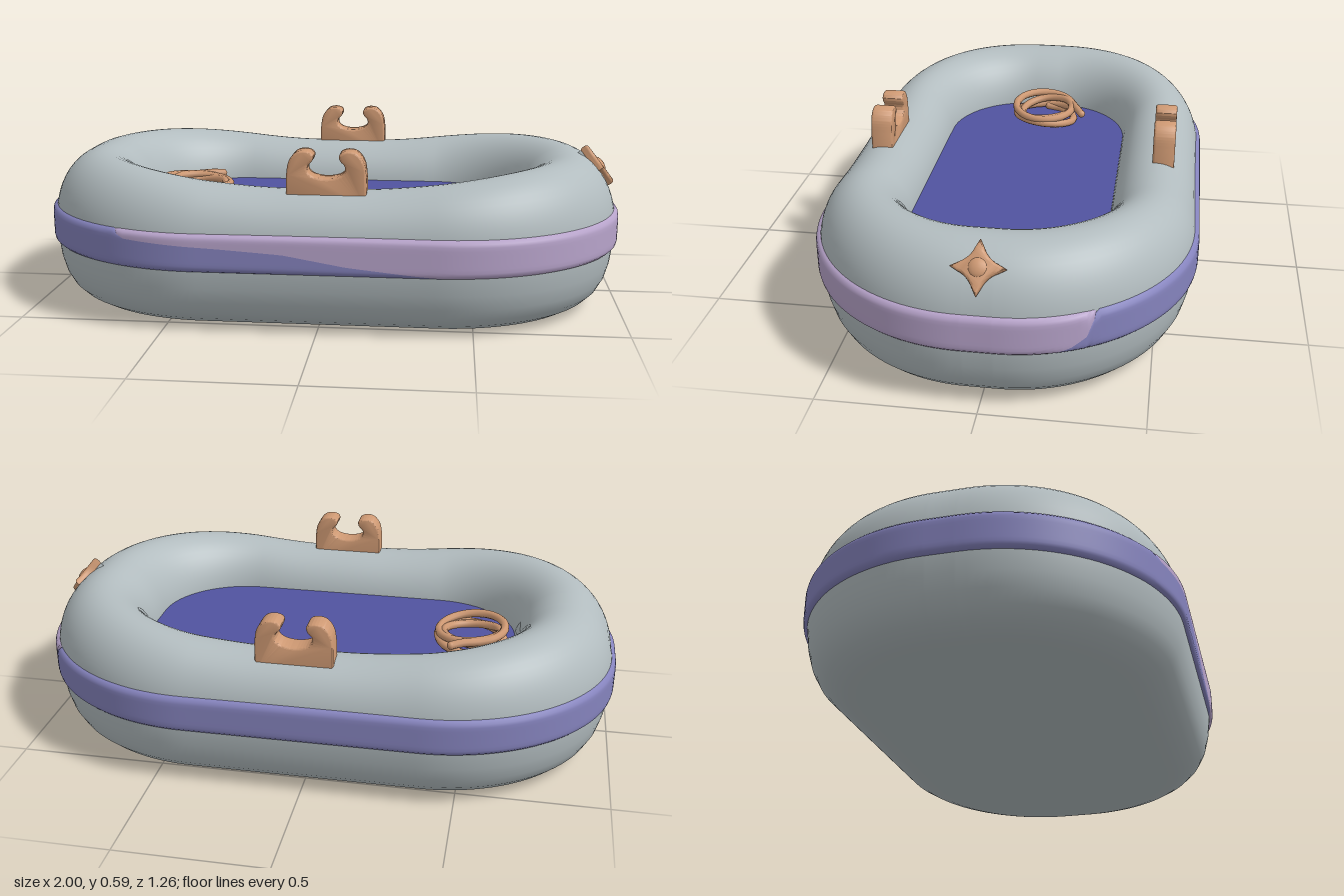
import * as THREE from 'three';
import { toCreasedNormals } from 'three/addons/utils/BufferGeometryUtils.js';

const mat = (name, color) => {
  const m = new THREE.MeshStandardMaterial({ color });
  m.name = name;
  return m;
};

// Rounded rectangle with elliptical corners: half sizes a, b; straight halves sx, sz
function outline(t, a, b, sx, sz) {
  const c = Math.cos(t), s = Math.sin(t);
  const u = Math.atan2(Math.abs(s), Math.abs(c)) / (Math.PI / 2);
  const phi = THREE.MathUtils.clamp((u - 0.125) / 0.625, 0, 1) * (Math.PI / 2);
  const x = sx * Math.min(1, (1 - u) / 0.25) + (a - sx) * Math.cos(phi);
  const z = sz * Math.min(1, u / 0.125) + (b - sz) * Math.sin(phi);
  return [Math.sign(c) * x, Math.sign(s) * z];
}
const outer = (t, e = 0) => outline(t, 0.988 + e, 0.618 + e, 0.38, 0.05);
const inner = (t) => outline(t, 0.648, 0.329, 0.35, 0.05);

// Closed ring surface from rows of points; point(row, angle) gives [x, y, z]
function loft(rows, point, segs = 192) {
  const pos = [], idx = [];
  for (let j = 0; j < rows; j++) {
    for (let i = 0; i < segs; i++) pos.push(...point(j, (i / segs) * Math.PI * 2));
  }
  for (let j = 0; j < rows - 1; j++) {
    for (let i = 0; i < segs; i++) {
      const k = (i + 1) % segs, a = j * segs + i, b = j * segs + k;
      idx.push(a, a + segs, b, b, a + segs, b + segs);
    }
  }
  const g = new THREE.BufferGeometry();
  g.setAttribute('position', new THREE.Float32BufferAttribute(pos, 3));
  g.setIndex(idx);
  g.computeVertexNormals();
  return g;
}

// Piecewise linear lookup
function lookup(v, pts) {
  if (v <= pts[0][0]) return pts[0][1];
  for (let i = 1; i < pts.length; i++) {
    const [x0, y0] = pts[i - 1], [x1, y1] = pts[i];
    if (v <= x1) return y0 + ((y1 - y0) * (v - x0)) / (x1 - x0);
  }
  return pts[pts.length - 1][1];
}

export function createModel() {
  const model = new THREE.Group();
  const grey = mat('tube grey', 0xb2bcbf);
  const blue = mat('floor blue', 0x5153a0);
  const violet = mat('band violet', 0x8583bd);
  const lilac = mat('band lilac', 0xb7a3ca);
  const tan = mat('fitting tan', 0xcd9872);
  const add = (name, geo, m, parent = model) => {
    const mesh = new THREE.Mesh(geo, m);
    mesh.name = name;
    parent.add(mesh);
    return mesh;
  };

  // Inflated hull: flat bottom, rounded side, elliptical top that rises at both ends
  const base = [[0.18, 0], [0.145, 0.001], [0.11, 0.012], [0.075, 0.032], [0.046, 0.06],
    [0.024, 0.1], [0.01, 0.15], [0.002, 0.21]];
  const arc = 24;
  add('inflatedHull', loft(1 + base.length + arc + 2, (j, t) => {
    if (j === 0) return [0, 0, 0];
    if (j <= base.length) {
      const [d, y] = base[j - 1], [x, z] = outer(t, -d);
      return [x, y, z];
    }
    const k = j - 1 - base.length;
    const phi = (Math.min(k, arc) / arc) * Math.PI;
    const o = outer(t), n = inner(t), f = 0.5 - 0.5 * Math.cos(phi);
    const x = o[0] + (n[0] - o[0]) * f, z = o[1] + (n[1] - o[1]) * f;
    const crest = 0.455 + 0.056 * THREE.MathUtils.smoothstep(Math.abs(o[0] + n[0]) / 2, 0.1, 0.8);
    const y = k > arc ? 0.22 : 0.285 + (crest - 0.285) * Math.sin(phi);
    return [x, y, z];
  }), grey);

  // Floor inside the tube
  add('floor', loft(2, (j, t) => {
    const [x, z] = inner(t);
    return j === 0 ? [x * 1.02, 0.32, z * 1.02] : [0, 0.32, 0];
  }), blue);

  // Rub band in two colours, divided at a height that changes around the hull
  const split = (t) => {
    const [x, z] = outer(t);
    if (z >= 0) {
      return lookup(x, [[-0.66, 1], [-0.62, 0.76], [-0.3, 0.64], [-0.1, 0.54], [0.1, 0.28], [0.45, 0]]);
    }
    return x < 0 ? 1 : lookup(-z, [[0.17, 0], [0.26, 0.15], [0.31, 0.4], [0.335, 1]]);
  };
  const bandPoint = (s, t) => {
    const [x, z] = outer(t, 0.012 - 0.03 * Math.pow(Math.abs(2 * s - 1), 10));
    return [x, 0.205 + 0.132 * s, z];
  };
  const rows = 15;
  const ease = (u) => 0.5 - 0.5 * Math.cos(u * Math.PI);
  add('lowerBand', loft(rows, (j, t) => bandPoint(ease(j / (rows - 1)) * split(t), t), 256), violet);
  add('upperBand', loft(rows, (j, t) => {
    const s = split(t);
    return bandPoint(s + (1 - s) * ease(j / (rows - 1)), t);
  }, 256), lilac);

  // Open oar holders with rounded horns on both long sides
  const half = [[0.121, 0.5], [0.114, 0.545], [0.094, 0.573], [0.068, 0.579], [0.049, 0.572],
    [0.05, 0.558], [0.065, 0.54], [0.064, 0.516], [0.042, 0.498], [0, 0.491]];
  const rim = [...half, ...half.slice(0, -1).reverse().map(([x, y]) => [-x, y])];
  const lockShape = new THREE.Shape();
  lockShape.moveTo(0.121, 0.41);
  lockShape.lineTo(0.121, 0.5);
  lockShape.splineThru(rim.slice(1).map(([x, y]) => new THREE.Vector2(x, y)));
  lockShape.lineTo(-0.121, 0.41);
  const lockGeo = toCreasedNormals(new THREE.ExtrudeGeometry(lockShape, {
    depth: 0.056, bevelThickness: 0.009, bevelSize: 0.007, bevelSegments: 3, curveSegments: 48,
  }), 0.8);
  lockGeo.translate(0.027, 0, -0.028);
  add('frontOarHolder', lockGeo, tan).position.z = 0.483;
  add('backOarHolder', lockGeo, tan).position.z = -0.497;

  // Four-pointed star fitting with a grey backing, tilted onto the end of the tube
  const starGeo = (r, depth, bevel) => {
    const s = new THREE.Shape();
    s.moveTo(r, 0);
    for (let i = 1; i <= 4; i++) {
      const a = (i * Math.PI) / 2, c = a - Math.PI / 4;
      s.quadraticCurveTo(Math.cos(c) * r * 0.3, Math.sin(c) * r * 0.3, Math.cos(a) * r, Math.sin(a) * r);
    }
    return toCreasedNormals(new THREE.ExtrudeGeometry(s, {
      depth, bevelThickness: bevel, bevelSize: bevel * 0.7, bevelSegments: 3, curveSegments: 8,
    }), 0.8);
  };
  const tilt = new THREE.Group();
  tilt.name = 'starFitting';
  tilt.position.set(0.915, 0.447, 0);
  tilt.rotation.z = 0.66;
  const star = new THREE.Group();
  star.name = 'starPlates';
  star.rotation.y = Math.PI / 2;
  tilt.add(star);
  add('starBacking', starGeo(0.07, 0.024, 0.008), grey, star).position.z = -0.02;
  add('starFace', starGeo(0.071, 0.008, 0.012), tan, star).position.z = 0.016;
  const boss = add('starCentre', new THREE.SphereGeometry(0.032, 16, 10), tan, star);
  boss.position.z = 0.027;
  boss.scale.z = 0.55;
  model.add(tilt);

  // Coiled rope lying on the floor, with a loose end
  const pts = [];
  const turns = 3.2, steps = 52;
  for (let i = 0; i <= steps; i++) {
    const u = i / steps, a = u * turns * Math.PI * 2 + Math.PI;
    const r = 0.104 + 0.012 * Math.sin(u * 9);
    pts.push(new THREE.Vector3(-0.5 + r * Math.cos(a) + 0.004 * Math.sin(u * 17),
      0.333 + 0.05 * u + 0.01 * Math.sin(a + u * 6), -0.015 + r * Math.sin(a)));
  }
  pts.push(new THREE.Vector3(-0.475, 0.376, -0.145), new THREE.Vector3(-0.44, 0.372, -0.163));
  add('ropeCoil', new THREE.TubeGeometry(new THREE.CatmullRomCurve3(pts), 200, 0.0145, 8), tan);
  for (const p of [pts[0], pts[pts.length - 1]]) {
    add('ropeEnd', new THREE.SphereGeometry(0.0145, 10, 8), tan).position.copy(p);
  }
  return model;
}
